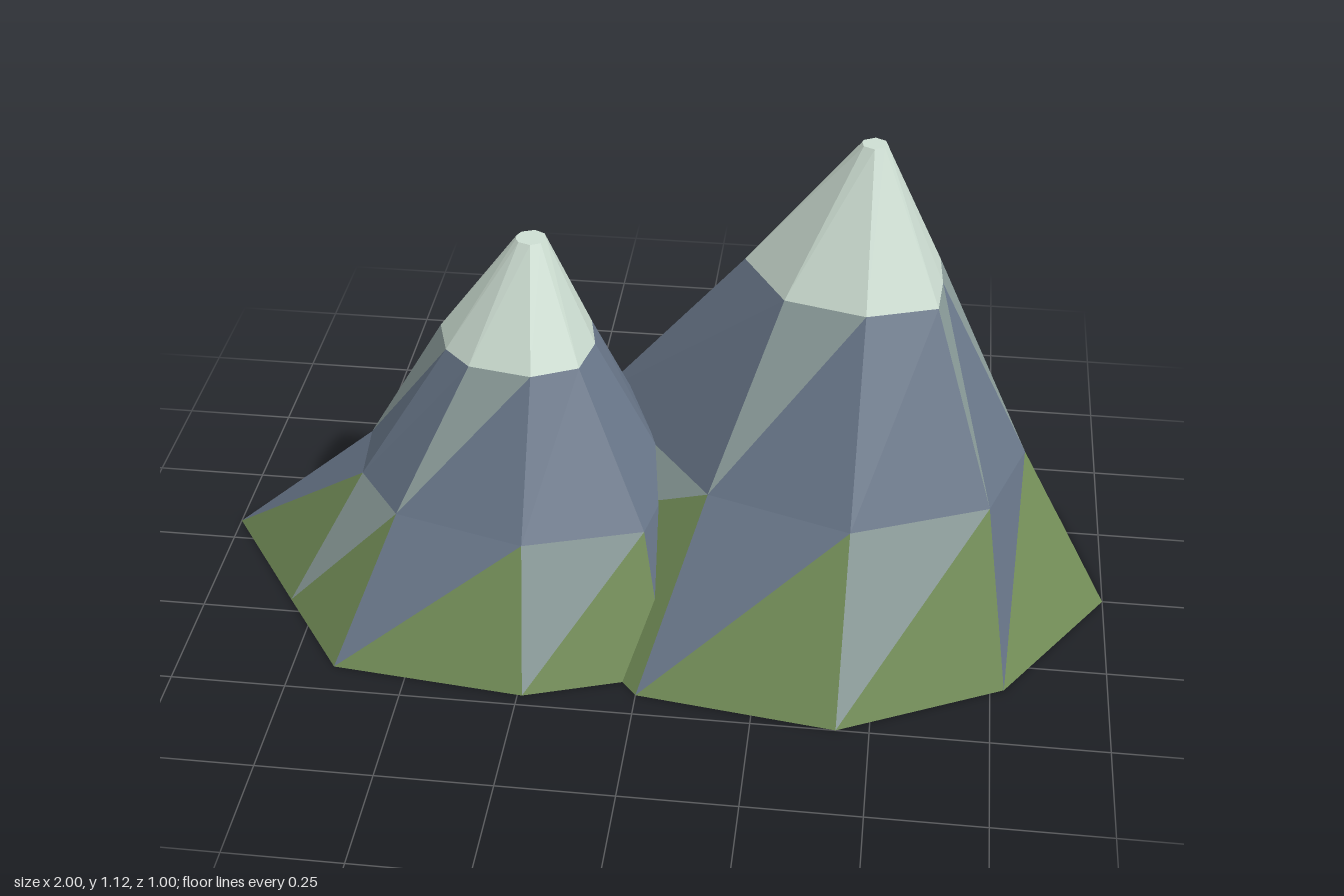
import * as THREE from 'three';

const mat = (name, color) => {
  const m = new THREE.MeshStandardMaterial({ color });
  m.name = name;
  return m;
};

// Each ring lists [x, z] corners, starting at the left of the front view and
// running through the front, the right and the back.
const PEAKS = [
  {
    name: 'tallPeak',
    heights: [0, 0.395, 0.805, 1.12],
    summit: [0.435, 0, 0.026],
    rings: [
      [[-0.48, -0.12], [0, 0.44], [0.43, 0.5], [0.78, 0.33], [1, 0], [0.905, -0.33], [0.425, -0.5], [-0.107, -0.44]],
      [[-0.15, -0.12], [0.13, 0.24], [0.435, 0.34], [0.72, 0.22], [0.795, 0], [0.67, -0.225], [0.45, -0.34], [0.12, -0.24]],
      [[0.175, -0.05], [0.27, 0.11], [0.44, 0.155], [0.585, 0.105], [0.592, 0], [0.585, -0.1], [0.44, -0.155], [0.25, -0.11]],
    ],
    paleLower: [0, 2, 5, 7],
    paleUpper: [1, 3, 4],
  },
  {
    name: 'shortPeak',
    heights: [0, 0.315, 0.645, 0.895],
    summit: [-0.26, 0.07, 0.032],
    rings: [
      [[-1, -0.065], [-0.81, 0.21], [-0.66, 0.425], [-0.24, 0.47], [0.06, 0.37], [0.18, 0.07], [0.08, -0.2], [-0.25, -0.33], [-0.6, -0.28]],
      [[-0.655, -0.02], [-0.64, 0.14], [-0.535, 0.28], [-0.25, 0.36], [0, 0.28], [0.04, 0.07], [-0.02, -0.1], [-0.25, -0.19], [-0.43, -0.21]],
      [[-0.47, 0.035], [-0.44, 0.13], [-0.38, 0.19], [-0.245, 0.215], [-0.15, 0.17], [-0.13, 0.07], [-0.15, -0.02], [-0.25, -0.055], [-0.37, -0.03]],
    ],
    paleLower: [1, 3, 5, 8],
    paleUpper: [0, 2, 7],
  },
];

function buildPeak({ name, heights, summit, rings, paleLower, paleUpper }, mats) {
  const n = rings[0].length;
  const [sx, sz, sr] = summit;
  // Small flat summit, aligned with the snow line below it
  const tip = rings[2].map(([x, z]) => {
    const a = Math.atan2(z - sz, x - sx);
    return [sx + sr * Math.cos(a), sz + sr * Math.sin(a)];
  });
  const P = [...rings, tip].map((ring, k) => ring.map(([x, z]) => [x, heights[k], z]));
  const faces = { grass: [], rock: [], paleRock: [], snow: [] };
  const tri = (part, ...corners) => corners.forEach((c) => faces[part].push(...c));

  for (let i = 0; i < n; i++) {
    const j = (i + 1) % n;
    const [b, m, s, t] = P;
    // Foot: grass wedge with a rock wedge pointing down
    tri('grass', b[i], b[j], m[j]);
    tri(paleLower.includes(i) ? 'paleRock' : 'rock', b[i], m[j], m[i]);
    // Rock slope
    tri('rock', m[i], m[j], s[j]);
    tri(paleUpper.includes(i) ? 'paleRock' : 'rock', m[i], s[j], s[i]);
    // Snow cap and flat summit
    tri('snow', s[i], s[j], t[j]);
    tri('snow', s[i], t[j], t[i]);
    tri('snow', t[i], t[j], [sx, heights[3], sz]);
    // Underside
    tri('grass', b[j], b[i], [sx, 0, sz]);
  }

  const peak = new THREE.Group();
  peak.name = name;
  for (const [part, points] of Object.entries(faces)) {
    const geo = new THREE.BufferGeometry();
    geo.setAttribute('position', new THREE.Float32BufferAttribute(points, 3));
    geo.computeVertexNormals();
    const mesh = new THREE.Mesh(geo, mats[part]);
    mesh.name = part;
    peak.add(mesh);
  }
  return peak;
}

export function createModel() {
  const mats = {
    grass: mat('grass green', 0x738e58),
    rock: mat('slate rock', 0x69778a),
    paleRock: mat('pale rock', 0x8c9d9b),
    snow: mat('snow', 0xcedfd3),
  };
  for (const m of Object.values(mats)) m.flatShading = true;
  const model = new THREE.Group();
  model.name = 'mountains';
  for (const p of PEAKS) model.add(buildPeak(p, mats));
  return model;
}
